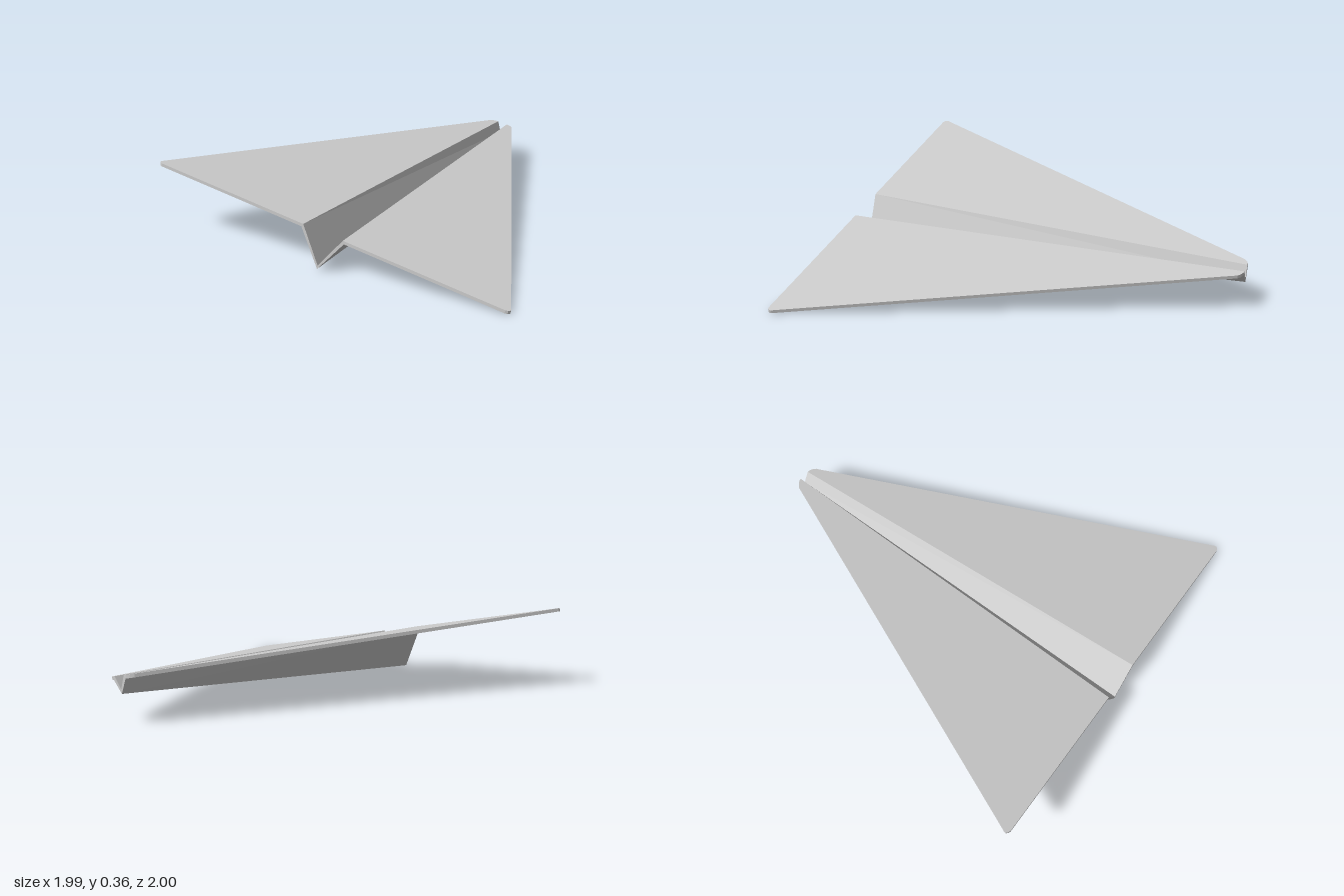
import * as THREE from 'three';

const LENGTH = 1.87;   // tail to nose
const THICK = 0.015;   // paper thickness

// Solid convex panel between matching upper and lower outlines; side = -1 mirrors it.
function panel(upper, lower, side, material, name) {
  const pos = [];
  const tri = (a, b, c) => {
    for (const p of side > 0 ? [a, b, c] : [a, c, b]) pos.push(p[0] * side, p[1], p[2]);
  };
  const n = upper.length;
  for (let i = 1; i < n - 1; i++) {
    tri(upper[0], upper[i], upper[i + 1]);
    tri(lower[0], lower[i + 1], lower[i]);
  }
  for (let i = 0; i < n; i++) {
    const j = (i + 1) % n;
    tri(upper[i], lower[i], lower[j]);
    tri(upper[i], lower[j], upper[j]);
  }
  const geometry = new THREE.BufferGeometry();
  geometry.setAttribute('position', new THREE.Float32BufferAttribute(pos, 3));
  geometry.computeVertexNormals();
  const mesh = new THREE.Mesh(geometry, material);
  mesh.name = name;
  return mesh;
}

export function createModel() {
  const paper = new THREE.MeshStandardMaterial({ color: 0xcccccc });
  paper.name = 'greyPaper';

  const plane = new THREE.Group();
  plane.name = 'paperPlane';

  // Wing outline as [sideways, forward], with rounded tip and nose corners
  const outline = [
    [0.105, 0], [0.907, 0], [0.919, 0.004], [0.926, 0.013], [0.925, 0.022], [0.918, 0.036],
    [0.076, 1.83], [0.067, 1.85], [0.052, 1.863], [0.038, 1.869], [0.027, LENGTH],
  ];
  const last = outline.length - 1;
  const wingTop = outline.map(([x, f]) => [x, 0, -f]);
  const wingBottom = outline.map(([x, f], i) =>
    [x + (i === 0 || i === last ? 0.008 : 0), -THICK, -f]);

  // Folded keel: from the wing crease down to the centre line
  const keelInner = [wingTop[0], wingTop[last], [0, -0.055, -LENGTH], [0, -0.17, 0]];
  const keelOuter = [wingBottom[0], wingBottom[last], [0, -0.073, -LENGTH], [0, -0.188, 0]];

  for (const [side, label] of [[1, 'right'], [-1, 'left']]) {
    plane.add(panel(wingTop, wingBottom, side, paper, label + 'Wing'));
    plane.add(panel(keelInner, keelOuter, side, paper, label + 'KeelFold'));
  }

  // Banked attitude, nose pointing diagonally backwards
  const across = new THREE.Vector3(0.70, -0.185, 0.69).normalize();
  const forward = new THREE.Vector3(0.70, 0.003, -0.712).normalize();
  const up = across.clone().cross(forward).normalize();
  const back = across.clone().cross(up);
  plane.quaternion.setFromRotationMatrix(new THREE.Matrix4().makeBasis(across, up, back));
  plane.position.set(-0.355, 0.186, 0.37);

  const model = new THREE.Group();
  model.name = 'model';
  model.add(plane);
  return model;
}
